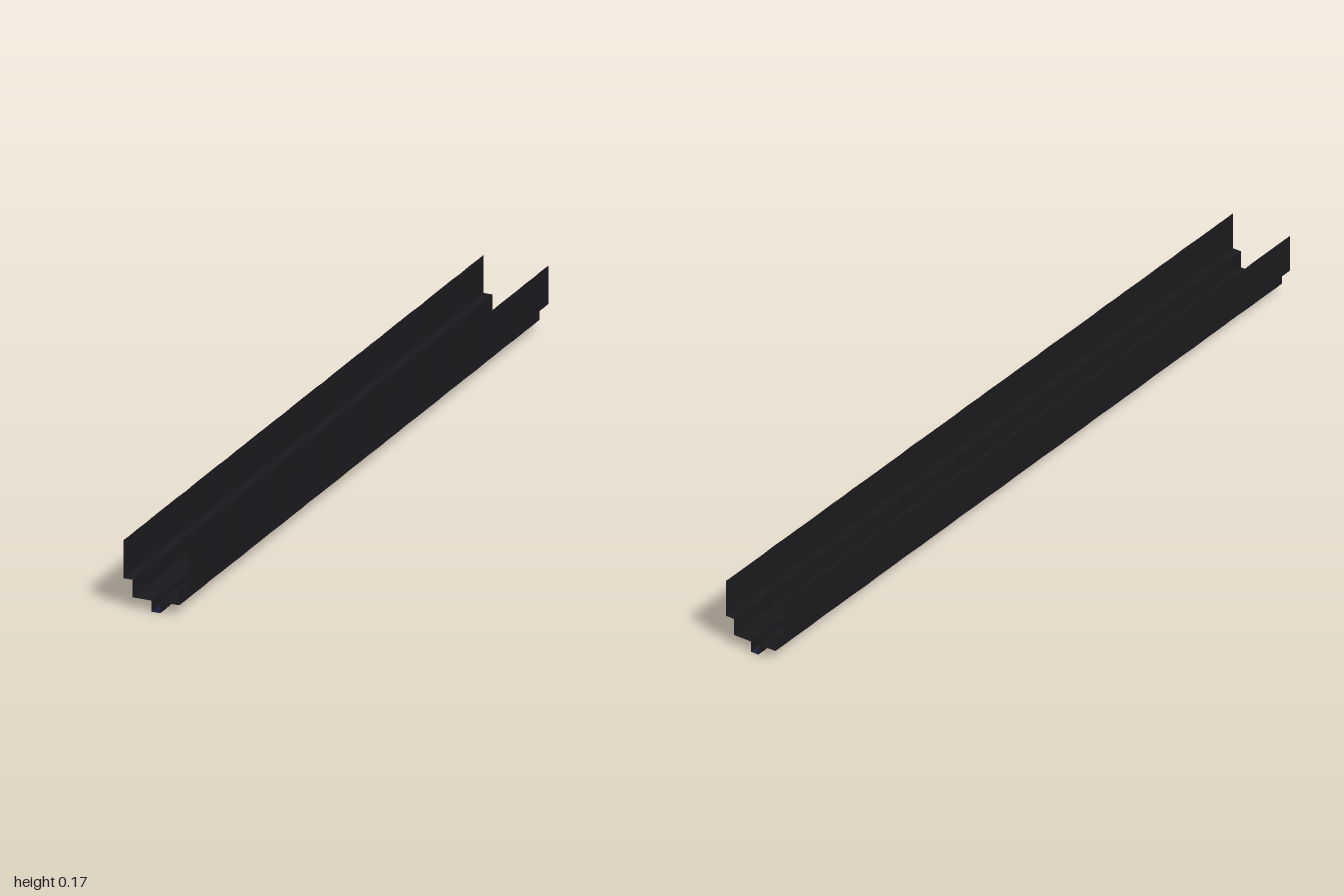
import * as THREE from 'three';

const LENGTH = 2;
const SEGMENTS = 80;

// Half cross-section of the trench, from the rim down to the gutter floor
const half = [
  [0.083, 0.168], // rim
  [0.083, 0.072], // ledge, outer edge
  [0.06, 0.072],  // ledge, inner edge
  [0.06, 0.028],  // floor, outer edge
  [0.011, 0.028], // gutter lip
  [0.011, 0],     // gutter bottom
];

// Slight unevenness along the length
const wobble = (z, i) => 0.0008 * Math.sin(z * 17 + i * 2.1) * Math.sin(z * 41 + i);

// Long strip swept along z between two points of the cross-section
function strip(name, a, b, seed, material) {
  const geometry = new THREE.PlaneGeometry(1, LENGTH, 1, SEGMENTS);
  const pos = geometry.attributes.position;
  for (let i = 0; i < pos.count; i++) {
    const z = pos.getY(i);
    const atA = pos.getX(i) < 0;
    const [x, y] = atA ? a : b;
    const side = Math.sign(x);
    const corner = atA ? seed : seed + 1;
    const dx = wobble(z, corner) * side;
    const dy = y > 0.15 ? -Math.abs(wobble(z, 7 + side)) : 0;
    pos.setXYZ(i, x + dx, y + dy, z);
  }
  geometry.computeVertexNormals();
  const mesh = new THREE.Mesh(geometry, material);
  mesh.name = name;
  return mesh;
}

export function createModel() {
  const group = new THREE.Group();
  group.name = 'trench';
  const dark = new THREE.MeshStandardMaterial({ color: 0x1a191d, side: THREE.DoubleSide });
  const blue = new THREE.MeshStandardMaterial({ color: 0x1a1d38, side: THREE.DoubleSide });

  // Stepped sides, mirrored; point order keeps the faces turned inward
  const names = ['upperWall', 'ledge', 'lowerWall', 'floor', 'gutterWall'];
  names.forEach((name, i) => {
    const [a, b] = [half[i], half[i + 1]];
    const mirror = ([x, y]) => [-x, y];
    group.add(strip(name + 'Left', a, b, i, dark));
    group.add(strip(name + 'Right', mirror(a), mirror(b), i, dark));
  });

  // Bottom of the central gutter
  const [x, y] = half[5];
  const bottom = strip('gutterBottom', [-x, y], [x, y], 5, blue);
  group.add(bottom);

  return group;
}
